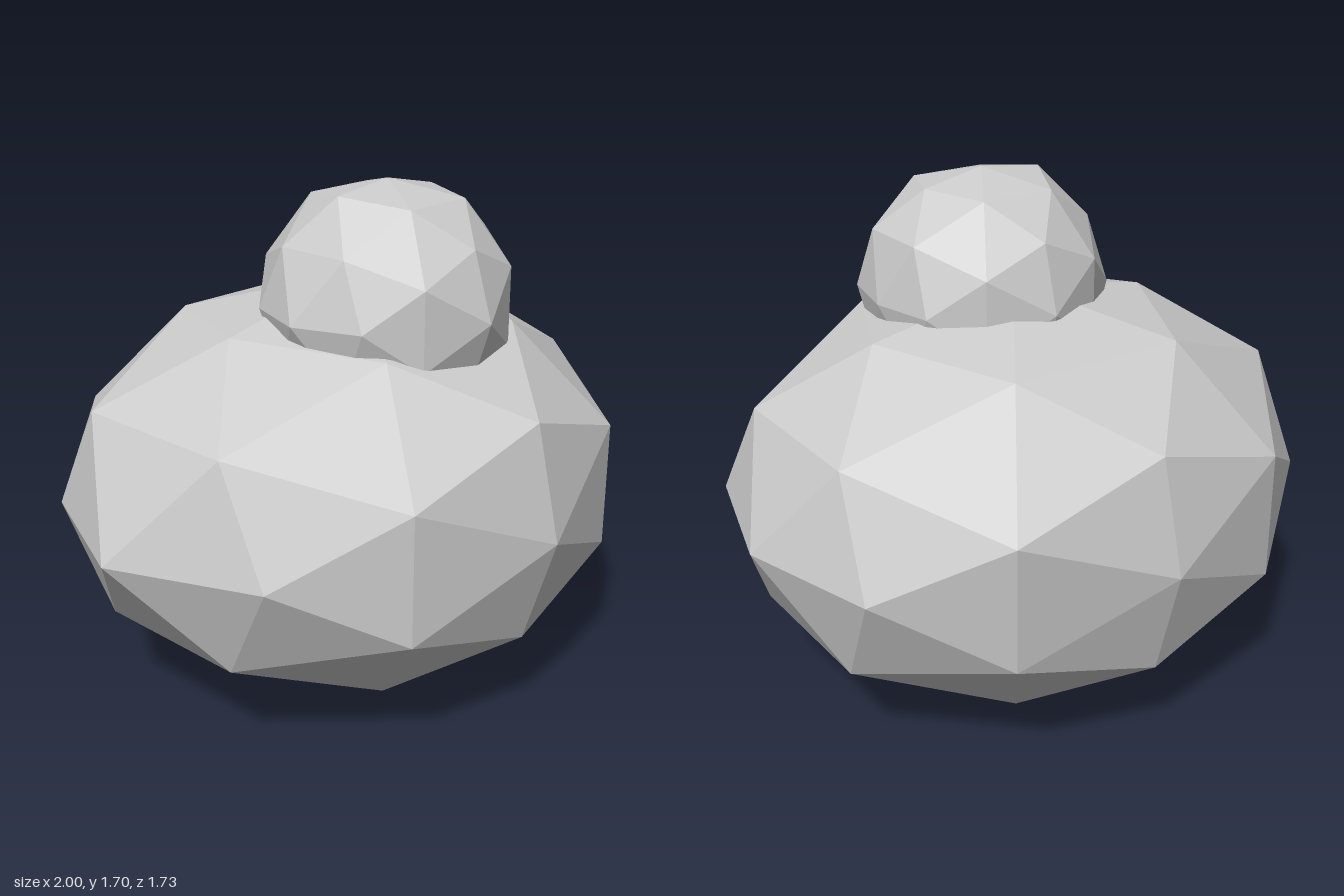
import * as THREE from 'three';

const stone = new THREE.MeshStandardMaterial({ color: 0xcccccc, flatShading: true });
stone.name = 'pale grey';

// Faceted boulder: a subdivided icosahedron, stretched, with a few corners pushed in or out.
// Each tweak is [x, y, z, factor] with the corner's direction on the unit sphere.
function boulder(name, center, scale, tweaks) {
  const geometry = new THREE.IcosahedronGeometry(1, 1);
  const pos = geometry.attributes.position;
  const v = new THREE.Vector3();
  const dir = new THREE.Vector3();
  const size = new THREE.Vector3(...scale);
  for (let i = 0; i < pos.count; i++) {
    v.fromBufferAttribute(pos, i);
    let factor = 1;
    for (const [x, y, z, f] of tweaks) {
      if (v.distanceTo(dir.set(x, y, z)) < 0.1) factor = f;
    }
    v.multiplyScalar(factor).multiply(size);
    pos.setXYZ(i, v.x, v.y, v.z);
  }
  geometry.computeVertexNormals();
  const mesh = new THREE.Mesh(geometry, stone);
  mesh.name = name;
  mesh.position.set(...center);
  return mesh;
}

export function createModel() {
  const model = new THREE.Group();
  model.name = 'stackedBoulders';

  // Wide lower stone
  model.add(boulder('lowerBoulder', [0.035, 0.68, -0.01], [0.98, 0.68, 0.895], [
    [-1, 0, 0, 1.056], [1, 0, 0, 0.985],
    [0, 0, 1, 0.975], [0, 0, -1, 0.957],
    [0.5, 0.309, -0.809, 1.06], [0, 0.526, 0.851, 1.03],
    [-0.809, 0.5, 0.309, 1.04], [-0.809, 0.5, -0.309, 1.04],
    [0.526, -0.851, 0, 0.96], [-0.526, -0.851, 0, 0.96],
  ]));

  // Small upper stone, sunk into the lower one toward the front
  model.add(boulder('upperBoulder', [0.035, 1.31, 0.165], [0.41, 0.41, 0.41], [
    [-1, 0, 0, 1.045], [1, 0, 0, 0.965],
    [0, 1, 0, 0.94], [0, 0, 1, 1.02],
    [-0.526, 0.851, 0, 1.03], [0.526, 0.851, 0, 0.98],
  ]));
  return model;
}
